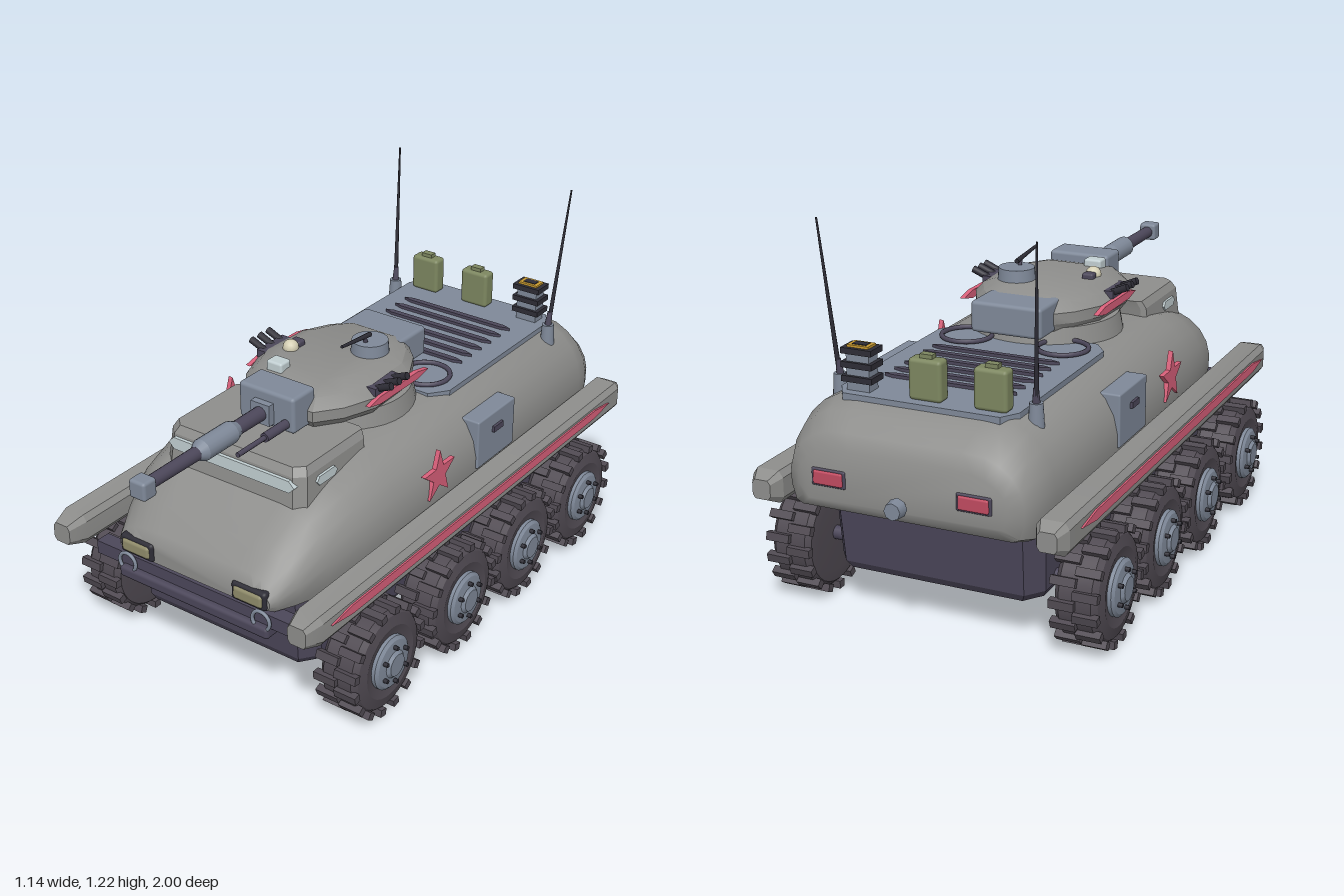
import * as THREE from 'three';
import { toCreasedNormals } from 'three/addons/utils/BufferGeometryUtils.js';
import { RoundedBoxGeometry } from 'three/addons/geometries/RoundedBoxGeometry.js';

const mat = (color) => new THREE.MeshStandardMaterial({ color });
const body = mat(0x8e8e8c), dark = mat(0x4c475a), rubber = mat(0x504a52), steel = mat(0x7f8999),
  red = mat(0xd9607a), black = mat(0x2e2d36), glass = mat(0xc3d0d3), lamp = mat(0x8f8b6a),
  olive = mat(0x7d8760), cream = mat(0xd5cfb4), amber = mat(0xc89a30), tailRed = mat(0xc04a60);
const V = (x, y, z) => new THREE.Vector3(x, y, z);

function add(parent, name, geo, material, x = 0, y = 0, z = 0) {
  const m = new THREE.Mesh(geo, material);
  m.name = name;
  m.position.set(x, y, z);
  parent.add(m);
  return m;
}
const box = (w, h, d) => new THREE.BoxGeometry(w, h, d);
const rbox = (w, h, d, r = 0.012) => new RoundedBoxGeometry(w, h, d, 2, r);

// Tapered cylinder running from point a to point b
function rod(parent, name, a, b, r1, r2, material, sides = 16) {
  const d = b.clone().sub(a);
  const m = add(parent, name, new THREE.CylinderGeometry(r2, r1, d.length(), sides), material);
  m.position.copy(a).addScaledVector(d, 0.5);
  m.quaternion.setFromUnitVectors(V(0, 1, 0), d.normalize());
  return m;
}

// Mirror a half outline, listed counterclockwise on the +x side
const mirrored = (half) => [...half, ...half.slice().reverse().map(([x, y]) => [-x, y])];

// Closed loft through rings of [x, y] at increasing z
function loft(rings, crease = 0.6) {
  const n = rings[0].pts.length, pos = [], idx = [];
  rings.forEach(({ pts, z }) => pts.forEach(([x, y]) => pos.push(x, y, z)));
  for (let i = 0; i < rings.length - 1; i++)
    for (let j = 0; j < n; j++) {
      const a = i * n + j, b = i * n + (j + 1) % n;
      idx.push(a, b, a + n, b, b + n, a + n);
    }
  const e = (rings.length - 1) * n;
  for (let j = 1; j < n - 1; j++) idx.push(0, j + 1, j, e, e + j, e + j + 1);
  const g = new THREE.BufferGeometry();
  g.setAttribute('position', new THREE.Float32BufferAttribute(pos, 3));
  g.setIndex(idx);
  return toCreasedNormals(g, crease);
}

// Upright solid from a half plan outline [x, z] (front to back) and levels [y, scaleX, scaleZ]
const tower = (plan, levels, crease) => loft(levels.map(([y, sx, sz]) => ({
  z: y, pts: mirrored(plan.map(([x, z]) => [x * sx, -z * sz])),
})), crease).rotateX(-Math.PI / 2);

// Thin strip with pointed ends, lying along x
function spike(len, h, depth, tip) {
  const l = len / 2, k = l - tip;
  const s = new THREE.Shape([[-l, 0], [-k, -h / 2], [k, -h / 2], [l, 0], [k, h / 2], [-k, h / 2]]
    .map(([x, y]) => new THREE.Vector2(x, y)));
  return new THREE.ExtrudeGeometry(s, { depth, bevelEnabled: false }).translate(0, 0, -depth / 2);
}

function star(r, depth) {
  const p = [];
  for (let i = 0; i < 10; i++) {
    const a = Math.PI / 2 + i * Math.PI / 5, q = i % 2 ? r * 0.4 : r;
    p.push(new THREE.Vector2(Math.cos(a) * q, Math.sin(a) * q));
  }
  return new THREE.ExtrudeGeometry(new THREE.Shape(p), { depth, bevelEnabled: false }).translate(0, 0, -depth / 2);
}

// Wheel with its axis along x, outer face towards +x
function makeWheel() {
  const g = new THREE.Group();
  g.name = 'wheel';
  const lathe = (pts) => toCreasedNormals(new THREE.LatheGeometry(
    pts.map(([r, y]) => new THREE.Vector2(r, y)), 32).rotateZ(-Math.PI / 2), 0.5);
  add(g, 'tire', lathe([[0, -0.06], [0.12, -0.07], [0.155, -0.066], [0.17, -0.05], [0.17, 0.05],
    [0.155, 0.066], [0.12, 0.074], [0.092, 0.066], [0, 0.066]]), rubber);
  add(g, 'hub', lathe([[0.088, 0.06], [0.088, 0.078], [0.078, 0.086], [0.045, 0.09], [0.036, 0.1], [0, 0.1]]), steel);
  for (let i = 0; i < 32; i++) {
    const a = i / 32 * Math.PI * 2, lug = new THREE.Group();
    add(lug, 'treadLug', box(0.078, 0.024, 0.026), rubber, i % 2 ? 0.036 : -0.036, 0.173, 0);
    lug.rotation.x = a;
    g.add(lug);
  }
  for (let i = 0; i < 6; i++) {
    const a = i / 6 * Math.PI * 2, y = Math.cos(a) * 0.06, z = Math.sin(a) * 0.06;
    rod(g, 'wheelBolt', V(0.08, y, z), V(0.102, y, z), 0.007, 0.007, black, 8);
  }
  return g;
}

export function createModel() {
  const car = new THREE.Group();
  car.name = 'armouredVehicle';

  // Upper hull: rounded section [u, v] swept through [z, half width, bottom, top]
  const section = [[0.9, 0], [0.96, 0.04], [1, 0.25], [1, 0.45], [0.97, 0.62], [0.9, 0.78], [0.8, 0.9], [0.68, 0.98], [0.5, 1]];
  const stations = [[-0.95, 0.33, 0.44, 0.6], [-0.925, 0.37, 0.405, 0.645], [-0.87, 0.395, 0.39, 0.69], [-0.8, 0.41, 0.385, 0.716],
    [0.3, 0.41, 0.385, 0.716], [0.46, 0.395, 0.385, 0.685], [0.6, 0.37, 0.385, 0.645], [0.7, 0.335, 0.39, 0.56],
    [0.765, 0.305, 0.395, 0.5], [0.785, 0.29, 0.405, 0.475]];
  add(car, 'upperHull', loft(stations.map(([z, w, b, t]) => ({
    z, pts: mirrored(section.map(([u, v]) => [u * w, b + v * (t - b)])),
  })), 0.7), body);
  add(car, 'lowerHull', tower([[0.3, 0.68], [0.345, 0.62], [0.345, -0.73], [0.3, -0.79]],
    [[0.14, 0.94, 0.95], [0.165, 0.98, 0.97], [0.4, 1, 1]], 0.3), dark);

  // Cab with windows
  add(car, 'cab', tower([[0.235, 0.6], [0.268, 0.57], [0.268, 0.28], [0.25, 0.27]],
    [[0.62, 1, 1], [0.74, 0.96, 0.975], [0.765, 0.91, 0.95]], 0.3), body);
  add(car, 'windshield', spike(0.48, 0.04, 0.02, 0.02), glass, 0, 0.712, 0.587);

  // Front bumper
  add(car, 'bumper', box(0.79, 0.045, 0.05), dark, 0, 0.368, 0.755);
  add(car, 'bumperLip', rbox(0.58, 0.04, 0.07), dark, 0, 0.332, 0.765);

  const wheelZ = [0.53, 0.12, -0.255, -0.635];
  wheelZ.forEach((z) => {
    rod(car, 'axle', V(-0.42, 0.185, z), V(0.42, 0.185, z), 0.022, 0.022, dark);
    rod(car, 'bellyCap', V(0, 0.15, z), V(0, 0.122, z), 0.045, 0.025, steel);
  });

  // Engine deck with vents and stowage
  add(car, 'engineDeck', tower([[0.24, -0.1], [0.285, -0.16], [0.285, -0.77], [0.25, -0.825]],
    [[0.685, 1, 1], [0.724, 1, 1]], 0.3), steel);
  for (let i = 0; i < 6; i++)
    add(car, 'deckVent', spike(0.43, 0.02, 0.016, 0.03).rotateX(Math.PI / 2), dark, 0, 0.726, -0.34 - i * 0.06);
  for (const x of [-0.205, 0]) {
    add(car, 'fuelCan', rbox(0.105, 0.125, 0.052), olive, x, 0.785, -0.77);
    add(car, 'fuelCanCap', box(0.04, 0.016, 0.025), olive, x, 0.852, -0.77);
  }
  for (let i = 0; i < 3; i++) {
    add(car, 'beaconBody', box(0.075, 0.04, 0.05), steel, 0.215, 0.735 + i * 0.042, -0.77);
    add(car, 'beaconBand', box(0.1, 0.018, 0.07), black, 0.215, 0.76 + i * 0.042, -0.77);
  }
  add(car, 'beaconFrame', box(0.07, 0.008, 0.046), amber, 0.215, 0.856, -0.77);
  add(car, 'beaconTop', box(0.045, 0.01, 0.026), black, 0.215, 0.857, -0.77);
  rod(car, 'rearCoupling', V(0, 0.465, -0.93), V(0, 0.465, -0.97), 0.018, 0.018, dark);
  rod(car, 'rearCouplingHead', V(0, 0.465, -0.965), V(0, 0.465, -1), 0.03, 0.026, steel, 8);

  // Turret
  const turret = new THREE.Group();
  turret.name = 'turret';
  car.add(turret);
  add(turret, 'turretRing', new THREE.CylinderGeometry(0.235, 0.25, 0.08, 40), body, 0, 0.735, 0.05);
  add(turret, 'turretShell', tower([[0.13, 0.36], [0.19, 0.28], [0.23, 0.17], [0.222, -0.02], [0.17, -0.12], [0.11, -0.18]],
    [[0.765, 0.92, 0.95], [0.79, 1, 1], [0.825, 1, 1], [0.855, 0.88, 0.9], [0.874, 0.66, 0.7]], 0.5), body);
  add(turret, 'rearBustle', rbox(0.24, 0.1, 0.15), steel, 0, 0.815, -0.19);
  add(turret, 'gunMantlet', rbox(0.21, 0.12, 0.11), steel, 0.005, 0.83, 0.372);
  add(turret, 'gunCollar', box(0.07, 0.07, 0.03), steel, 0, 0.82, 0.435);
  rod(turret, 'gunBarrel', V(0, 0.82, 0.4), V(0, 0.82, 0.96), 0.024, 0.02, dark);
  rod(turret, 'gunSleeve', V(0, 0.82, 0.59), V(0, 0.82, 0.72), 0.035, 0.035, steel);
  rod(turret, 'gunSleeveFront', V(0, 0.82, 0.72), V(0, 0.82, 0.745), 0.035, 0.022, steel);
  rod(turret, 'gunSleeveBack', V(0, 0.82, 0.565), V(0, 0.82, 0.59), 0.025, 0.035, steel);
  add(turret, 'muzzle', rbox(0.06, 0.06, 0.055, 0.01), steel, 0, 0.82, 0.9725);
  rod(turret, 'secondGunJacket', V(0.08, 0.8, 0.42), V(0.08, 0.8, 0.53), 0.015, 0.015, dark);
  rod(turret, 'secondGun', V(0.08, 0.8, 0.5), V(0.08, 0.8, 0.655), 0.008, 0.008, dark, 10);
  add(turret, 'hatch', new THREE.CylinderGeometry(0.058, 0.062, 0.05, 28), steel, 0.085, 0.888, 0);
  rod(turret, 'hatchPost', V(0.085, 0.9, 0.02), V(0.085, 0.932, 0.03), 0.007, 0.007, dark, 8);
  rod(turret, 'hatchGun', V(0.085, 0.93, 0), V(0.085, 0.946, 0.15), 0.008, 0.005, black, 8);
  add(turret, 'sightBox', rbox(0.06, 0.045, 0.05, 0.008), glass, -0.08, 0.875, 0.255);
  add(turret, 'searchlight', new THREE.SphereGeometry(0.026, 16, 10), cream, -0.125, 0.878, 0.135);
  add(turret, 'searchlightHousing', rbox(0.04, 0.04, 0.035, 0.008), dark, -0.125, 0.872, 0.1);

  for (const s of [-1, 1]) {
    // Wheels
    wheelZ.forEach((z) => {
      const w = makeWheel();
      w.position.set(s * 0.467, 0.185, z);
      if (s < 0) w.rotation.y = Math.PI;
      car.add(w);
    });
    // Side rail with stripe
    const rail = mirrored([[0.036, -0.05], [0.05, -0.03], [0.05, 0.03], [0.036, 0.05]]);
    add(car, 'sideRail', loft([[-0.96, 0.6], [-0.92, 1], [0.81, 1], [0.87, 0.65]].map(([z, k]) => ({
      z, pts: rail.map(([x, y]) => [x * k, y * k]),
    })), 0.3), body, s * 0.453, 0.44, 0);
    add(car, 'railStripe', spike(1.62, 0.03, 0.012, 0.1).rotateY(Math.PI / 2), red, s * 0.503, 0.447, -0.035);
    // Hull side details
    add(car, 'sideStar', star(0.087, 0.016).rotateY(s * Math.PI / 2), red, s * 0.411, 0.58, 0.095);
    add(car, 'sideDoor', rbox(0.07, 0.17, 0.22, 0.006), steel, s * 0.382, 0.575, -0.24);
    add(car, 'doorHandle', box(0.016, 0.02, 0.055), dark, s * 0.418, 0.602, -0.24);
    add(car, 'cabSideWindow', spike(0.1, 0.03, 0.012, 0.012).rotateY(Math.PI / 2), glass, s * 0.261, 0.707, 0.47);
    // Lights and tow rings
    add(car, 'headlightFrame', rbox(0.13, 0.064, 0.04), black, s * 0.217, 0.437, 0.775);
    add(car, 'headlight', rbox(0.11, 0.045, 0.04), lamp, s * 0.217, 0.437, 0.782);
    add(car, 'tailLightFrame', rbox(0.11, 0.055, 0.03, 0.006), dark, s * 0.23, 0.51, -0.94);
    add(car, 'tailLight', rbox(0.095, 0.042, 0.03, 0.006), tailRed, s * 0.23, 0.51, -0.946);
    add(car, 'towRing', new THREE.TorusGeometry(0.032, 0.006, 8, 24), steel, s * 0.26, 0.368, 0.79);
    // Antenna
    const base = V(s * 0.315, 0.72, -0.725);
    rod(car, 'antennaFoot', V(base.x, 0.66, base.z), V(base.x, 0.745, base.z), 0.025, 0.02, steel);
    rod(car, 'antennaSpring', V(base.x, 0.74, base.z), V(s * 0.317, 0.79, -0.731), 0.012, 0.008, dark, 10);
    rod(car, 'antenna', base, V(s * 0.342, 1.22, -0.78), 0.008, 0.003, black, 8);
    // Turret sides
    add(turret, 'deckLoop', new THREE.TorusGeometry(0.08, 0.008, 8, 28).rotateX(Math.PI / 2), dark, s * 0.165, 0.732, -0.2);
    add(turret, 'turretStripe', spike(0.32, 0.026, 0.016, 0.06).rotateY(Math.PI / 2), red, s * 0.232, 0.815, 0.06);
    add(turret, 'launcherBracket', box(0.04, 0.025, 0.13), dark, s * 0.21, 0.842, 0.11);
    for (const z of [0.065, 0.108, 0.15])
      rod(turret, 'smokeLauncher', V(s * 0.2, 0.838, z), V(s * 0.272, 0.868, z), 0.011, 0.012, black, 10);
  }
  return car;
}
